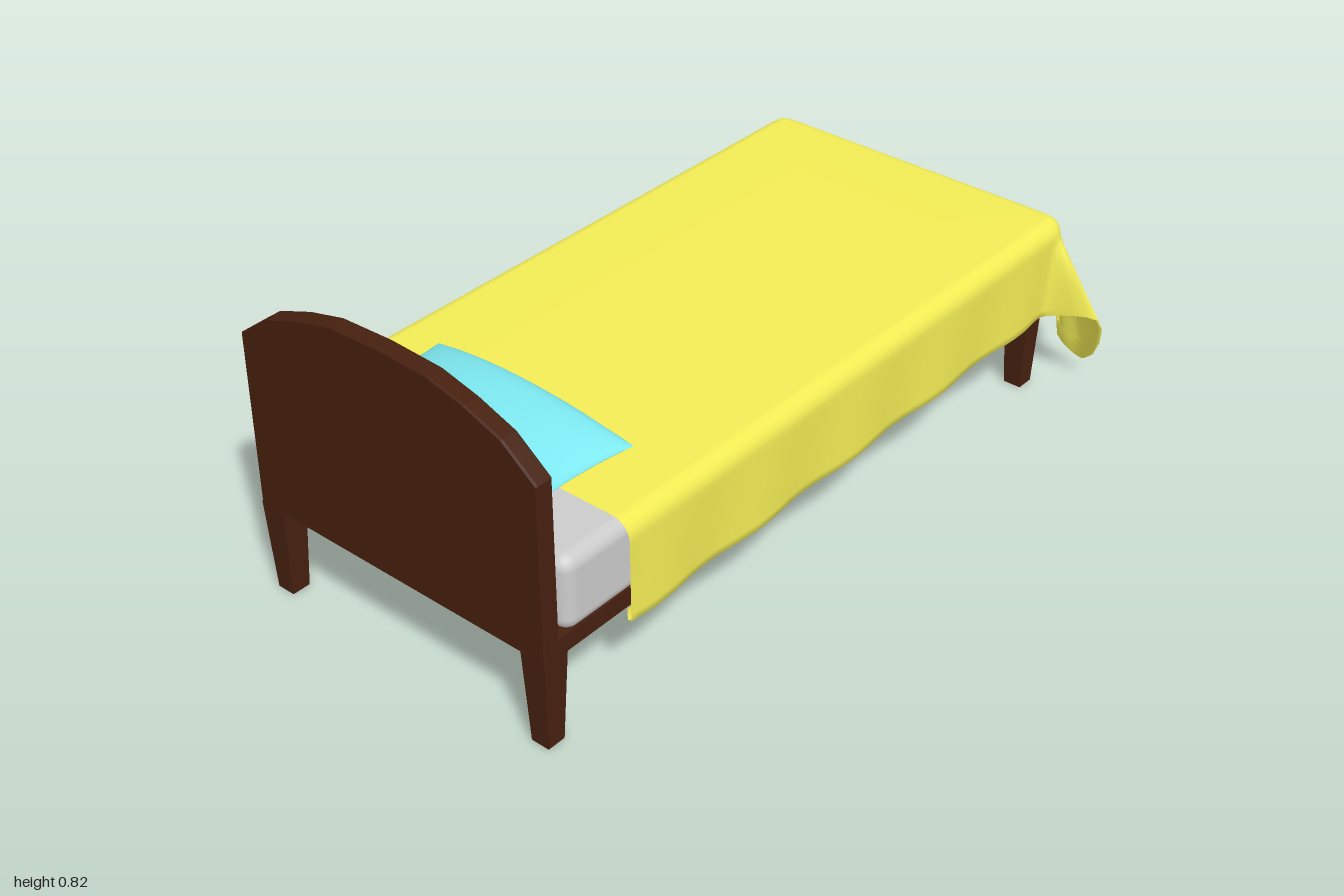
import * as THREE from 'three';
import { RoundedBoxGeometry } from 'three/addons/geometries/RoundedBoxGeometry.js';

const mat = (color, extra = {}) => new THREE.MeshStandardMaterial({ color, ...extra });

function add(group, name, geometry, material, x = 0, y = 0, z = 0) {
  const mesh = new THREE.Mesh(geometry, material);
  mesh.name = name;
  mesh.position.set(x, y, z);
  group.add(mesh);
  return mesh;
}

// Faceted arch, extruded along x
function headboardGeometry() {
  const arch = [[0.43, 0.68], [0.34, 0.75], [0.24, 0.787], [0.14, 0.812], [0, 0.818]];
  const outline = [[0.43, 0.235], ...arch];
  const mirrored = outline.slice(0, -1).reverse().map(([z, y]) => [-z, y]);
  const shape = new THREE.Shape([...outline, ...mirrored].map(([z, y]) => new THREE.Vector2(z, y)));
  const b = 0.004;
  return new THREE.ExtrudeGeometry(shape, {
    depth: 0.045 - 2 * b, bevelEnabled: true, bevelThickness: b, bevelSize: b, bevelOffset: -b, bevelSegments: 1,
  }).translate(0, 0, b).rotateY(Math.PI / 2);
}

// Square leg, narrower at the floor
function legGeometry() {
  const h = 0.24;
  return new THREE.CylinderGeometry(0.034 * Math.SQRT2, 0.024 * Math.SQRT2, h, 4, 1)
    .rotateY(Math.PI / 4).translate(0, h / 2, 0).toNonIndexed();
}

// Plump cushion with pinched sides
function pillowGeometry() {
  const g = new THREE.BoxGeometry(2, 2, 2, 20, 1, 28);
  const p = g.attributes.position;
  for (let i = 0; i < p.count; i++) {
    const u = Math.sin(p.getX(i) * Math.PI / 2), v = Math.sin(p.getZ(i) * Math.PI / 2);
    const full = Math.sqrt(Math.max(0, 1 - u ** 6)) * Math.max(0, 1 - v * v) ** 0.6;
    const middle = 0.482 + 0.02 * (1 - v * v);
    p.setXYZ(i,
      0.172 * u * (1 - 0.07 * (1 - v * v)),
      middle + full * (p.getY(i) > 0 ? 0.048 : -0.036),
      0.302 * v * (1 - 0.05 * (1 - u * u)));
  }
  g.computeVertexNormals();
  return g;
}

// Cloth lofted from the mattress edge down to a wandering hem
function blanketGeometry() {
  const top = 0.473, r = 0.045;
  const stations = []; // [edge x, edge z, hem x, hem y, hem z]
  for (let i = 0; i <= 22; i++) {
    const x = -0.77 + i * 0.07;
    stations.push([x, 0.457, x, 0.222, 0.457 + 0.006 * Math.sin(i * 1.3)]);
  }
  stations.push(
    [0.81, 0.457, 0.80, 0.22, 0.462],
    [0.84, 0.455, 0.835, 0.24, 0.59],
    [0.862, 0.442, 0.925, 0.055, 0.515],
    [0.874, 0.425, 0.92, 0.10, 0.44],
    [0.88, 0.40, 1.0, 0.16, 0.39],
    [0.882, 0.37, 0.885, 0.155, 0.35]);
  for (let i = 0; i < 5; i++) {
    const z = 0.30 - i * 0.06;
    stations.push([0.882, z, 0.902 + 0.008 * Math.cos(i * 2), 0.157, z]);
  }
  const back = stations.slice().reverse().map(([a, b, c, d, e]) => [a, -b, c, d, -e]);
  const all = [...stations, [0.882, 0, 0.905, 0.16, 0], ...back];
  const edge = new THREE.CatmullRomCurve3(all.map(s => new THREE.Vector3(s[0], top, s[1])));
  const hem = new THREE.CatmullRomCurve3(all.map(s => new THREE.Vector3(s[2], s[3], s[4])));

  const cols = (all.length - 1) * 4, arcSteps = 6, dropSteps = 12;
  const pos = [], index = [];
  let rows = 0;
  for (let c = 0; c <= cols; c++) {
    const E = edge.getPoint(c / cols), H = hem.getPoint(c / cols);
    const spine = new THREE.Vector3(Math.min(E.x, 0.4), top, 0);
    // inward direction: across the bed on the sides, along it at the foot
    const inner = new THREE.Vector3(
      Math.min(E.x, 0.837), top, THREE.MathUtils.clamp(E.z, -0.412, 0.412));
    const out = E.clone().sub(inner);
    const column = [spine, spine.clone().lerp(inner, 0.5)];
    for (let k = 0; k <= arcSteps; k++) {
      const a = k / arcSteps * Math.PI / 2;
      const q = inner.clone().addScaledVector(out, Math.sin(a));
      q.y = top - r * (1 - Math.cos(a));
      column.push(q);
    }
    const low = column[column.length - 1];
    for (let k = 1; k <= dropSteps; k++) column.push(low.clone().lerp(H, k / dropSteps));
    // folded hem gives the cloth its thickness
    const inward = new THREE.Vector3(Math.min(H.x, 0.8), H.y, H.z * 0.8).sub(H).setLength(0.01);
    column.push(H.clone().add(inward), low.clone().lerp(H, 0.85).add(inward));
    rows = column.length;
    column.forEach(q => pos.push(q.x, q.y, q.z));
  }
  for (let c = 0; c < cols; c++) for (let k = 0; k < rows - 1; k++) {
    const a = c * rows + k, b = a + rows;
    index.push(a, a + 1, b, b, a + 1, b + 1);
  }
  const g = new THREE.BufferGeometry();
  g.setAttribute('position', new THREE.Float32BufferAttribute(pos, 3));
  g.setIndex(index);
  g.computeVertexNormals();
  return g;
}

export function createModel() {
  const bed = new THREE.Group();
  bed.name = 'bed';
  const wood = mat(0x46200f, { flatShading: true });

  // Wooden frame
  add(bed, 'headboard', headboardGeometry(), wood, -1, 0, 0);
  add(bed, 'bedFrame', new THREE.BoxGeometry(1.8, 0.045, 0.86), wood, -0.07, 0.2575, 0);
  for (const [end, x] of [['head', -0.966], ['foot', 0.796]])
    for (const side of [1, -1])
      add(bed, `${end}Leg${side > 0 ? 'Front' : 'Back'}`, legGeometry(), wood, x, 0, side * 0.395);

  // Bedding
  add(bed, 'mattress', new RoundedBoxGeometry(1.79, 0.188, 0.884, 4, 0.035), mat(0xcccccc), -0.05, 0.373, 0);
  add(bed, 'blanket', blanketGeometry(), mat(0xf2ec55, { side: THREE.DoubleSide }));
  const pillow = add(bed, 'pillow', pillowGeometry(), mat(0x7de8f0), -0.732, 0, -0.015);
  pillow.rotation.y = -0.03;
  return bed;
}
